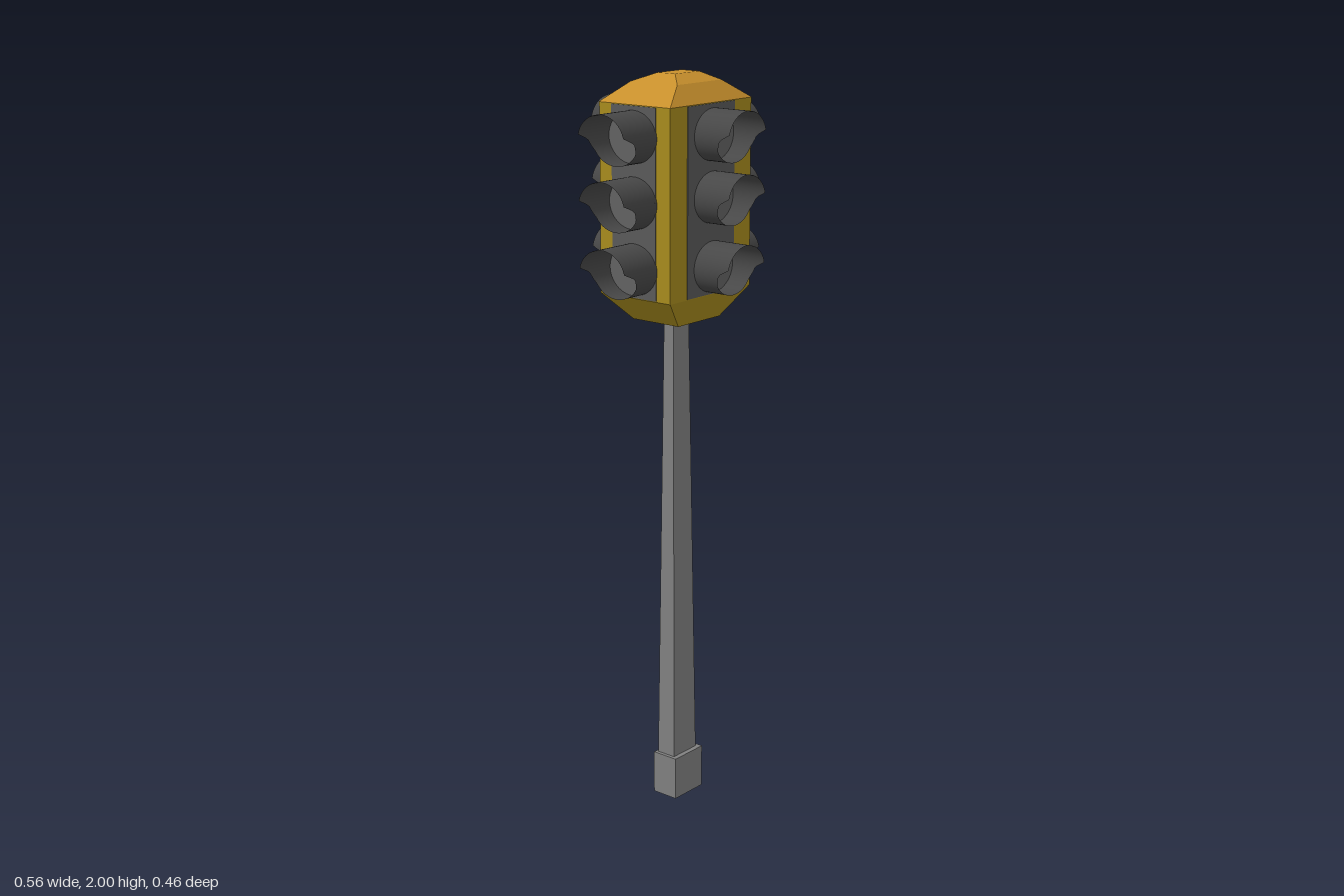
import * as THREE from 'three';
import { ConvexGeometry } from 'three/addons/geometries/ConvexGeometry.js';

const paint = (color, extra = {}) => new THREE.MeshStandardMaterial({ color, ...extra });
const mats = {
  housing: paint(0xa88c1e),
  roof: paint(0xc8902c),
  panel: paint(0x5a5a5a),
  pole: paint(0x808080),
  visor: paint(0x484848, { side: THREE.DoubleSide }),
  lens: paint(0x626262),
};

function addMesh(parent, name, geometry, material) {
  const mesh = new THREE.Mesh(geometry, material);
  mesh.name = name;
  parent.add(mesh);
  return mesh;
}

// Faceted solid through stacked rectangles [y, x0, x1, z0, z1]
function stacked(...rings) {
  const points = rings.flatMap(([y, x0, x1, z0, z1]) =>
    [[x0, z0], [x1, z0], [x1, z1], [x0, z1]].map(([x, z]) => new THREE.Vector3(x, y, z)));
  return new ConvexGeometry(points);
}

const RX = 0.076, RY = 0.067; // lamp radii

// Share of the extra hood length at height s (-1 bottom, 1 top)
function hoodShare(s) {
  if (s >= 0.2) return 1;
  if (s >= -0.04) return 0.3 + 0.7 * (s + 0.04) / 0.24;
  return Math.max(0, 0.3 * (s + 0.5) / 0.46);
}

// Open oval tube along +z, long above and cut back below
function visorGeometry(near, far) {
  const geo = new THREE.CylinderGeometry(1, 1, 1, 64, 1, true);
  geo.translate(0, 0.5, 0).rotateX(Math.PI / 2);
  const p = geo.attributes.position;
  for (let i = 0; i < p.count; i++) {
    const x = p.getX(i), y = p.getY(i);
    const depth = near + (far - near) * hoodShare(y);
    p.setXYZ(i, x * RX, y * RY, p.getZ(i) > 0.5 ? depth : 0);
  }
  return geo;
}

// One face: dark panel with three hooded lamps, facing +z before it is turned
function signalFace({ name, angle, x, z, width, near, far, heights, shift = 0 }) {
  const face = new THREE.Group();
  face.name = name;
  face.position.set(x, 0, z);
  face.rotation.y = angle;
  addMesh(face, 'panel', new THREE.BoxGeometry(width, 0.49, 0.004), mats.panel)
    .position.set(0, 1.683, 0);
  const visor = visorGeometry(near, far);
  const lens = new THREE.CircleGeometry(1, 48).scale(RX, RY, 1);
  for (const y of heights) {
    const lamp = new THREE.Group();
    lamp.name = 'lamp';
    lamp.position.set(shift, y, 0);
    addMesh(lamp, 'visor', visor, mats.visor);
    addMesh(lamp, 'lens', lens, mats.lens).position.z = 0.008;
    face.add(lamp);
  }
  return face;
}

export function createModel() {
  const model = new THREE.Group();
  model.name = 'trafficLight';

  // Foot and tapered pole
  addMesh(model, 'base', stacked(
    [0, -0.05, 0.066, -0.029, 0.049], [0.12, -0.05, 0.066, -0.029, 0.049]), mats.pole);
  addMesh(model, 'pole', stacked(
    [0.12, -0.04, 0.055, -0.022, 0.035], [1.37, -0.023, 0.04, -0.013, 0.019]), mats.pole);

  // Housing with tapered underside
  addMesh(model, 'housing', stacked(
    [1.36, -0.077, 0.093, -0.073, 0.08],
    [1.436, -0.154, 0.174, -0.117, 0.117],
    [1.93, -0.154, 0.174, -0.117, 0.117]), mats.housing);

  // Faceted roof
  addMesh(model, 'roof', stacked(
    [1.93, -0.155, 0.175, -0.118, 0.118],
    [1.978, -0.078, 0.1, -0.077, 0.077],
    [2, -0.036, 0.06, -0.023, 0.035]), mats.roof);

  // Four signal faces
  const q = Math.PI / 2;
  const faces = [
    { name: 'frontFace', angle: 0, x: 0.008, z: 0.117, width: 0.19, near: 0.07, far: 0.113,
      heights: [1.85, 1.69, 1.51], shift: 0.007 },
    { name: 'backFace', angle: 2 * q, x: 0.008, z: -0.117, width: 0.19, near: 0.058, far: 0.113,
      heights: [1.86, 1.7, 1.52], shift: -0.007 },
    { name: 'leftFace', angle: q, x: 0.174, z: -0.002, width: 0.146, near: 0.046, far: 0.105,
      heights: [1.845, 1.678, 1.505], shift: 0.004 },
    { name: 'rightFace', angle: -q, x: -0.154, z: -0.002, width: 0.146, near: 0.071, far: 0.126,
      heights: [1.85, 1.683, 1.512] },
  ];
  for (const face of faces) model.add(signalFace(face));
  return model;
}
